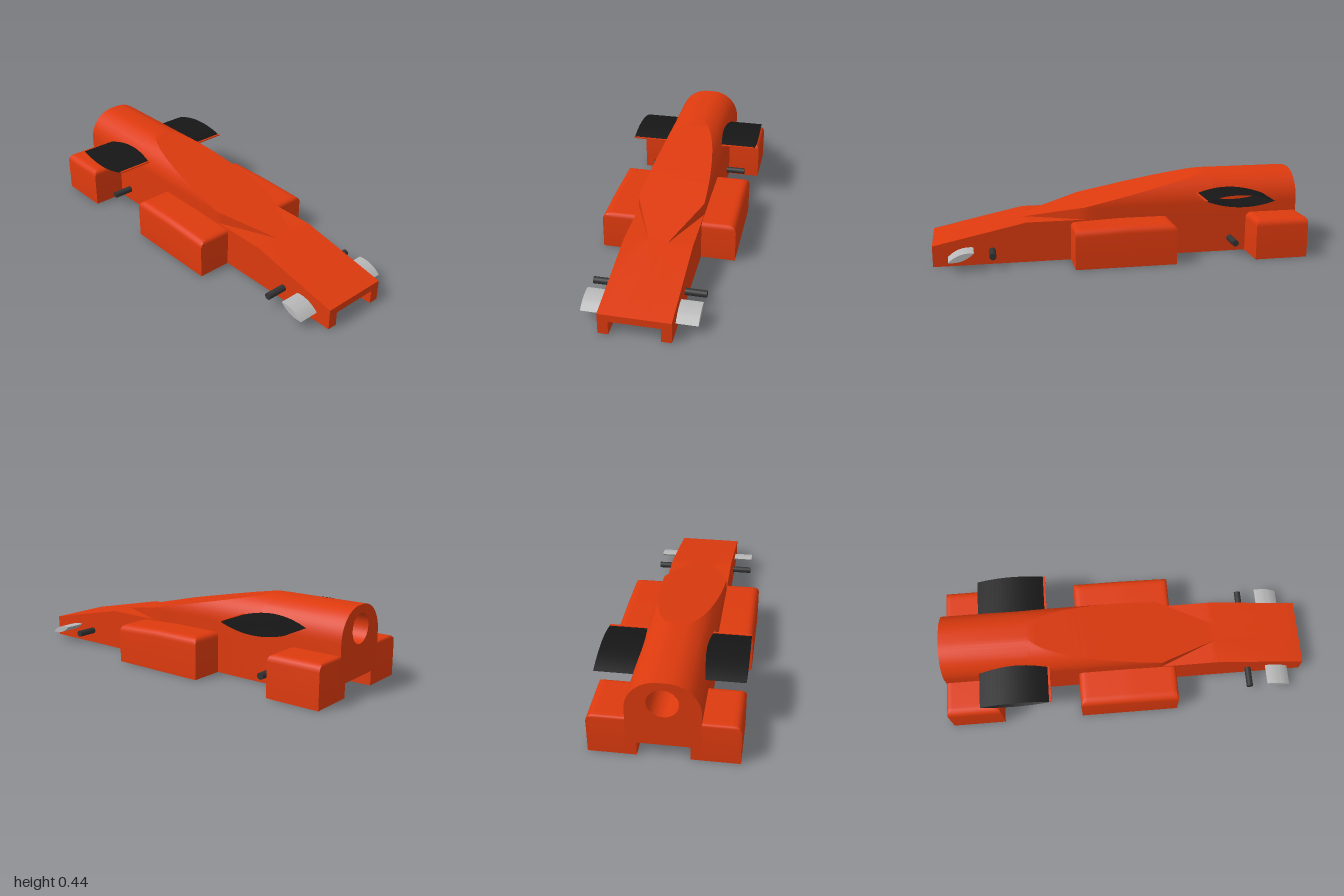
import * as THREE from 'three';
import { toCreasedNormals } from 'three/addons/utils/BufferGeometryUtils.js';

const mat = (color) => new THREE.MeshStandardMaterial({ color, side: THREE.DoubleSide });
const ORANGE = mat(0xdd3a0e), BLACK = mat(0x161616), DARK = mat(0x333333), GREY = mat(0xb8b8b8);

const W = 0.18, R = 0.16, SHOULDER = 0.277, FLOOR = 0.218;
const BORE_Y = 0.32, BORE_R = 0.077;

// height of the sloping deck
const deck = (x) => Math.min(0.437, 0.437 - (x + 0.525) * 0.2125);

// half cross-section [z, y] from the underside channel up to the top
function halfSection(x) {
  const top = deck(x);
  const wall = x < 0.19 ? W : Math.max(0.05, W - (x - 0.19) * 0.42);
  const ledge = Math.min(FLOOR, top);
  const pts = [[0.128, 0.075], [0.128, 0], [W, 0], [W, ledge], [wall, ledge]];
  const sweep = Math.asin(THREE.MathUtils.clamp((top - SHOULDER) / R, 0, 1));
  for (let i = 0; i <= 14; i++) {
    const a = sweep * i / 14;
    pts.push([Math.min(wall, 0.02 + R * Math.cos(a)), Math.min(top, SHOULDER + R * Math.sin(a))]);
  }
  return pts;
}

function section(x) {
  const half = halfSection(x);
  return [...half, ...half.map(([z, y]) => [-z, y]).reverse()];
}

// skin lofted along x
function bodySkin() {
  const xs = [-1];
  for (let i = 0; i <= 24; i++) xs.push(-0.525 + 0.715 * (i / 24) ** 2);
  for (let i = 1; i <= 8; i++) xs.push(0.19 + 0.316 * i / 8);
  xs.push(1);
  const n = section(0).length, pos = [], idx = [];
  for (const x of xs) for (const [z, y] of section(x)) pos.push(x, y, z);
  for (let i = 0; i < xs.length - 1; i++) {
    for (let j = 0; j < n; j++) {
      const k = (j + 1) % n, a = i * n + j, b = a + n, c = i * n + k, d = c + n;
      idx.push(a, b, c, b, d, c);
    }
  }
  const g = new THREE.BufferGeometry();
  g.setAttribute('position', new THREE.Float32BufferAttribute(pos, 3));
  g.setIndex(idx);
  return toCreasedNormals(g, 0.4);
}

function endCap(x, dir, hole) {
  const pts = section(x).map(([z, y]) => new THREE.Vector2(z, y))
    .filter((p, i, all) => i === 0 || p.distanceTo(all[i - 1]) > 1e-4);
  const shape = new THREE.Shape(pts);
  if (hole) shape.holes.push(new THREE.Path().absarc(0, BORE_Y, BORE_R, 0, Math.PI * 2, true));
  return new THREE.ShapeGeometry(shape, 32).rotateY(dir * Math.PI / 2).translate(x, 0, 0);
}

// side pod: block whose top rolls over at the ends and the outer edge
function podGeometry(x0, x1, r0, r1, side, slope) {
  const g = new THREE.BoxGeometry(2, 1, 2, 24, 1, 16);
  const p = g.attributes.position;
  const roll = (d, r) => (d >= r ? 0 : r - Math.sqrt(Math.max(0, r * r - (r - d) ** 2)));
  for (let i = 0; i < p.count; i++) {
    const x = (x0 + x1) / 2 + (x1 - x0) / 2 * Math.sin(p.getX(i) * Math.PI / 2);
    const z = 0.2675 + 0.0975 * Math.sin(p.getZ(i) * side * Math.PI / 2);
    const drop = Math.max(roll(x - x0, r0), roll(x1 - x, r1), roll(0.365 - z, 0.036));
    const y = p.getY(i) < 0 ? 0 : FLOOR - slope * Math.max(0, x) - drop;
    p.setXYZ(i, x, y, z * side);
  }
  return toCreasedNormals(g, 0.6);
}

// lens-shaped tube running along z
function lensGeometry(chord, thick, length, open) {
  const shape = new THREE.Shape();
  shape.moveTo(-chord / 2, 0);
  shape.quadraticCurveTo(0, thick, chord / 2, 0);
  shape.quadraticCurveTo(0, -thick, -chord / 2, 0);
  if (!open) {
    return toCreasedNormals(new THREE.ExtrudeGeometry(shape,
      { depth: length, bevelEnabled: false, curveSegments: 16 }).translate(0, 0, -length / 2), 0.5);
  }
  const pts = shape.getPoints(16), pos = [], idx = [];
  pts.forEach((p, i) => {
    pos.push(p.x, p.y, -length / 2, p.x, p.y, length / 2);
    const a = 2 * i;
    if (i < pts.length - 1) idx.push(a, a + 1, a + 2, a + 1, a + 3, a + 2);
  });
  const g = new THREE.BufferGeometry();
  g.setAttribute('position', new THREE.Float32BufferAttribute(pos, 3));
  // the outline runs clockwise, so flip to face outwards
  g.setIndex(idx.reverse());
  return toCreasedNormals(g, 0.5);
}

export function createModel() {
  const model = new THREE.Group();
  const add = (name, geometry, material, x = 0, y = 0, z = 0, parent = model) => {
    const mesh = new THREE.Mesh(geometry, material);
    mesh.name = name;
    mesh.position.set(x, y, z);
    parent.add(mesh);
    return mesh;
  };

  // body with rear bore
  const body = new THREE.Group();
  body.name = 'body';
  model.add(body);
  add('bodySkin', bodySkin(), ORANGE, 0, 0, 0, body);
  add('noseFace', endCap(1, 1, false), ORANGE, 0, 0, 0, body);
  add('rearFace', endCap(-1, -1, true), ORANGE, 0, 0, 0, body);
  add('boreWall', new THREE.CylinderGeometry(BORE_R, BORE_R, 0.5, 32, 1, true).rotateZ(Math.PI / 2),
    ORANGE, -0.75, BORE_Y, 0, body);
  add('boreEnd', new THREE.CircleGeometry(BORE_R, 32).rotateY(-Math.PI / 2), ORANGE, -0.5, BORE_Y, 0, body);

  // axles
  for (const [name, x] of [['frontAxle', 0.69], ['rearAxle', -0.62]]) {
    add(name, new THREE.CylinderGeometry(0.018, 0.018, 0.58, 20).rotateX(Math.PI / 2), DARK, x, 0.073);
  }

  for (const side of [1, -1]) {
    const label = side > 0 ? 'Front' : 'Back';
    // side pods
    add('rearPod' + label, podGeometry(-1, -0.71, 0.014, 0.03, side, 0), ORANGE);
    add('middlePod' + label, podGeometry(-0.27, 0.27, 0.03, 0.02, side, 0.04), ORANGE);

    // rear wing with a thin trailing strip
    add('rearWing' + label, lensGeometry(0.375, 0.065, 0.23, true), BLACK, -0.615, 0.328, side * 0.25)
      .rotation.z = 0.03;
    add('wingStrip' + label, new THREE.BoxGeometry(0.012, 0.006, 0.2), ORANGE, -0.427, 0.335, side * 0.265);

    // front winglet
    add('frontWinglet' + label, lensGeometry(0.14, 0.034, 0.13, false), GREY, 0.853, 0.075, side * 0.225)
      .rotation.z = -0.32;
  }
  return model;
}
